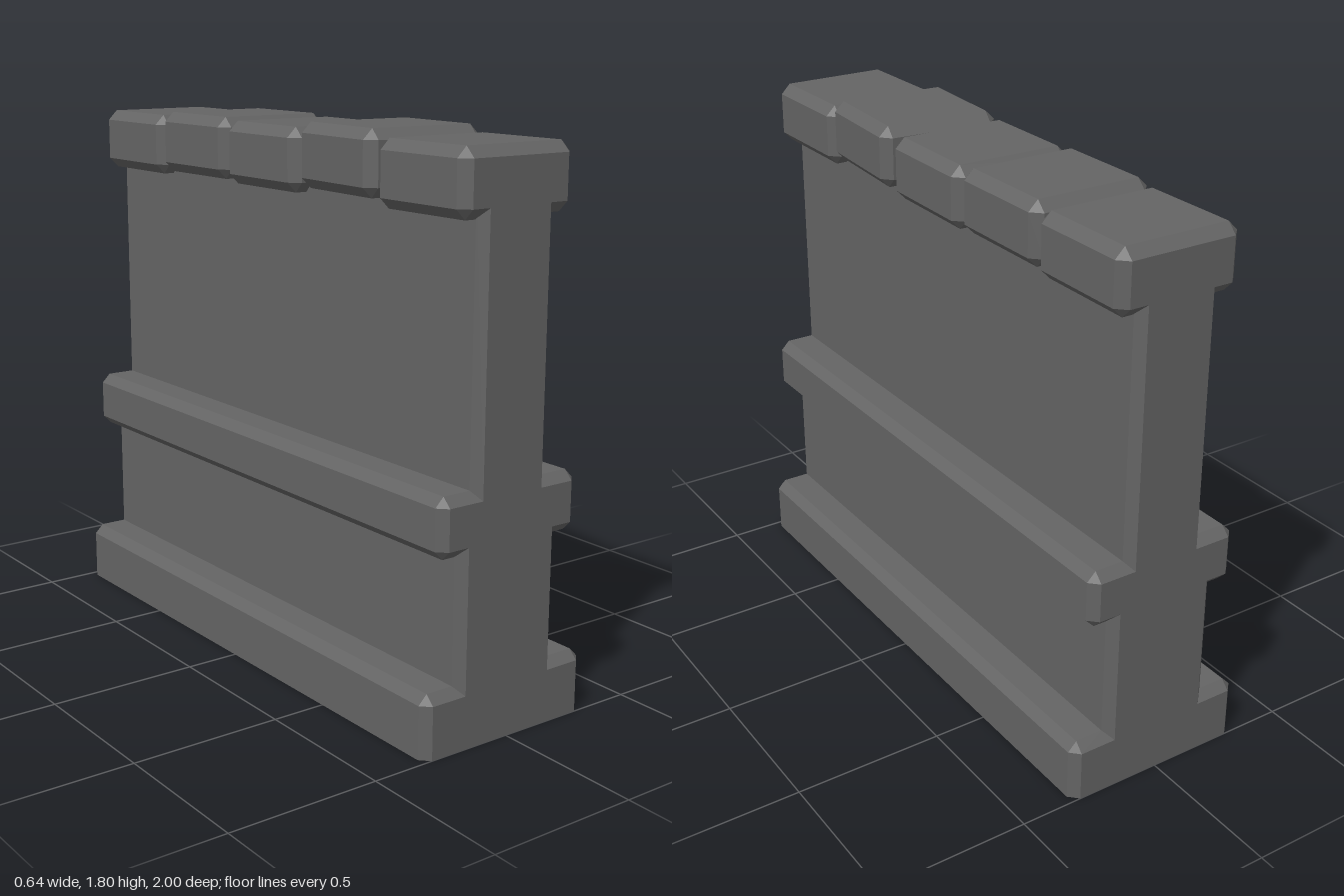
import * as THREE from 'three';
import { ConvexGeometry } from 'three/addons/geometries/ConvexGeometry.js';

// Right half of the wall cross-section, bottom to top: [x, y]
const OUTER = [
  [0.32, 0], [0.32, 0.17], [0.29, 0.2], [0.195, 0.2], [0.195, 0.6], [0.24, 0.6],
  [0.27, 0.63], [0.27, 0.76], [0.24, 0.79], [0.142, 0.79], [0.142, 1.66],
];
// The same outline drawn in for the bevelled end faces
const INSET = [
  [0.29, 0], [0.29, 0.17], [0.29, 0.17], [0.165, 0.17], [0.165, 0.63], [0.24, 0.63],
  [0.24, 0.63], [0.24, 0.76], [0.24, 0.76], [0.115, 0.76], [0.115, 1.64],
];

// Hollow wall shell, open underneath, with bevelled ends
function wallGeometry() {
  const positions = [];
  const tri = (a, b, c) => {
    const u = new THREE.Vector3().subVectors(b, a);
    const v = new THREE.Vector3().subVectors(c, a);
    if (u.cross(v).length() < 1e-7) return; // collapsed bevel corner
    for (const p of [a, b, c]) positions.push(p.x, p.y, p.z);
  };
  const quad = (a, b, c, d) => { tri(a, b, c); tri(a, c, d); };
  const ring = (half, z) => [
    ...half.map(([x, y]) => new THREE.Vector3(x, y, z)),
    ...half.map(([x, y]) => new THREE.Vector3(-x, y, z)).reverse(),
  ];
  const rings = [ring(INSET, -1), ring(OUTER, -0.97), ring(OUTER, 0.97), ring(INSET, 1)];

  // Long sides and end bevels
  for (let r = 0; r < 3; r++) {
    const p = rings[r], q = rings[r + 1];
    for (let i = 0; i < p.length - 1; i++) quad(p[i], p[i + 1], q[i + 1], q[i]);
  }
  // End faces, filled in strips from left to right
  const back = rings[0], front = rings[3], n = front.length;
  for (let i = 0; i < INSET.length - 1; i++) {
    quad(front[n - 1 - i], front[i], front[i + 1], front[n - 2 - i]);
    quad(back[i], back[n - 1 - i], back[n - 2 - i], back[i + 1]);
  }
  const geometry = new THREE.BufferGeometry();
  geometry.setAttribute('position', new THREE.Float32BufferAttribute(positions, 3));
  geometry.computeVertexNormals();
  return geometry;
}

// Box with every edge cut off by c
function chamferBox(w, h, d, c) {
  const points = [];
  for (const sx of [-1, 1]) for (const sy of [-1, 1]) for (const sz of [-1, 1]) {
    for (let axis = 0; axis < 3; axis++) {
      const cut = [c, c, c];
      cut[axis] = 0;
      points.push(new THREE.Vector3(
        sx * (w / 2 - cut[0]), sy * (h / 2 - cut[1]), sz * (d / 2 - cut[2])));
    }
  }
  return new ConvexGeometry(points);
}

export function createModel() {
  const model = new THREE.Group();
  model.name = 'stoneWall';
  const stone = new THREE.MeshStandardMaterial({
    color: 0x646464, flatShading: true, side: THREE.DoubleSide,
  });
  stone.name = 'grey stone';

  const wall = new THREE.Mesh(wallGeometry(), stone);
  wall.name = 'wallBody';
  model.add(wall);

  // Row of slightly uneven capstones
  const capstones = new THREE.Group();
  capstones.name = 'capstones';
  const capGeometry = chamferBox(0.425, 0.205, 0.4, 0.033);
  const caps = [ // z, top, turn
    [0.8, 1.776, 0], [0.41, 1.8, -0.065], [0.005, 1.781, -0.012],
    [-0.4, 1.79, 0], [-0.8, 1.776, 0],
  ];
  caps.forEach(([z, top, turn], i) => {
    const cap = new THREE.Mesh(capGeometry, stone);
    cap.name = `capstone${i + 1}`;
    cap.position.set(0, top - 0.1025, z);
    cap.rotation.y = turn;
    capstones.add(cap);
  });
  model.add(capstones);
  return model;
}
